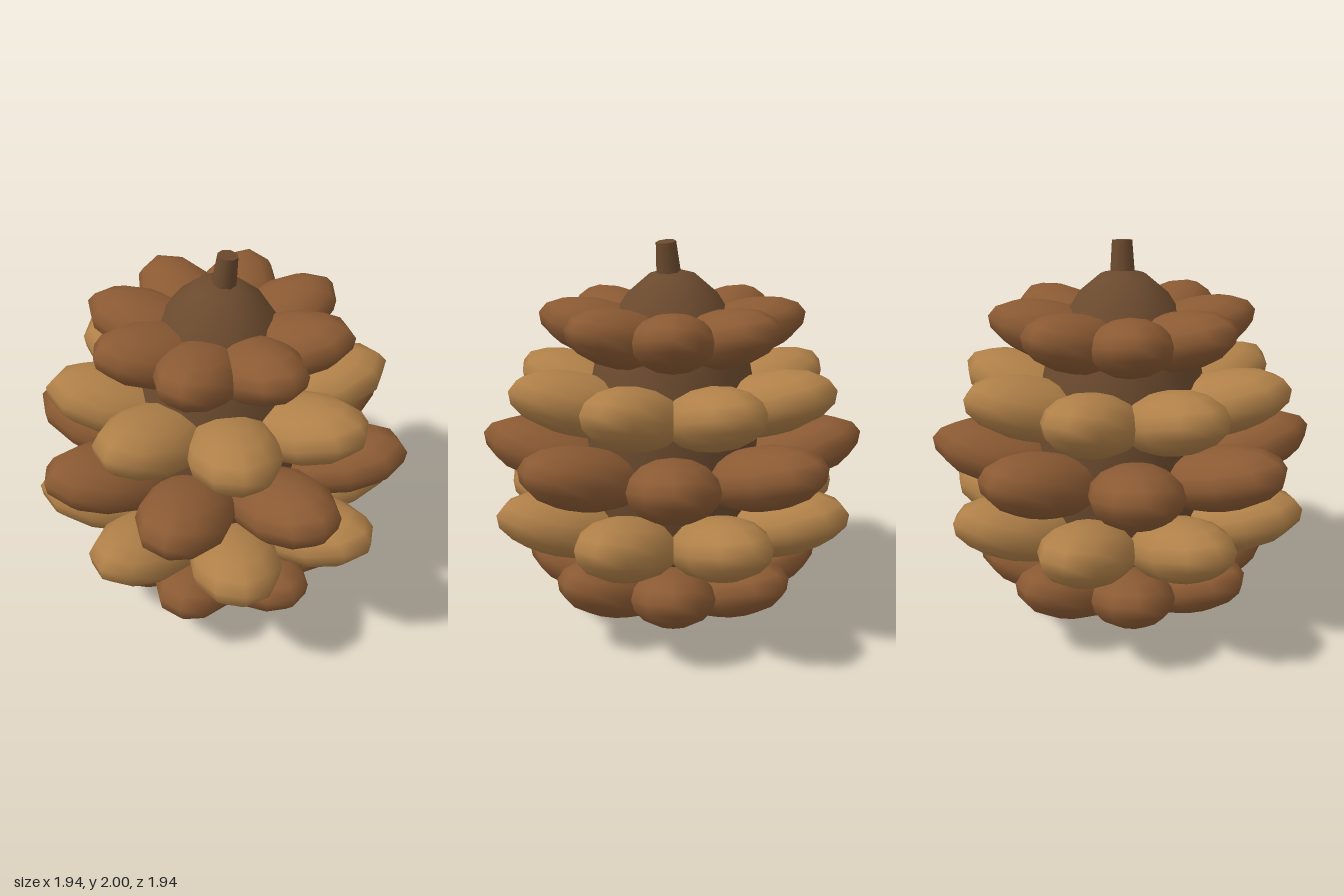
import * as THREE from 'three';

const paint = (color) => new THREE.MeshStandardMaterial({ color });

export function createModel() {
  const model = new THREE.Group();
  const wood = paint(0x6b4a2e);
  const scaleColours = [paint(0x8b5a33), paint(0xb08048)];

  // Egg-shaped core, seen between the tiers and as the cap on top
  const core = new THREE.Mesh(new THREE.SphereGeometry(1, 16, 12), wood);
  core.name = 'core';
  core.scale.set(0.45, 0.93, 0.45);
  core.position.y = 0.935;
  model.add(core);

  // Short stem, leaning slightly to the left
  const stem = new THREE.Mesh(new THREE.CylinderGeometry(0.05, 0.066, 0.24, 8), wood);
  stem.name = 'stem';
  stem.position.set(0.03, 1.877, 0);
  stem.rotation.z = -0.12;
  model.add(stem);

  // Five tiers of eight upturned scales, every other tier turned half a step
  const tiers = [
    { y: 0.28, radius: 0.41, length: 0.362, thick: 0.15, width: 0.218, tilt: 0.32 },
    { y: 0.595, radius: 0.585, length: 0.371, thick: 0.157, width: 0.23, tilt: 0.28 },
    { y: 0.915, radius: 0.612, length: 0.373, thick: 0.157, width: 0.232, tilt: 0.28 },
    { y: 1.22, radius: 0.502, length: 0.368, thick: 0.157, width: 0.23, tilt: 0.28 },
    { y: 1.553, radius: 0.338, length: 0.34, thick: 0.145, width: 0.21, tilt: 0.27 },
  ];
  const scaleGeometry = new THREE.SphereGeometry(1, 10, 8);
  tiers.forEach((t, i) => {
    const tier = new THREE.Group();
    tier.name = `scaleTier${i + 1}`;
    tier.position.y = t.y;
    for (let k = 0; k < 8; k++) {
      const arm = new THREE.Group();
      arm.name = 'scaleArm';
      arm.rotation.y = ((k + (i % 2) / 2) * Math.PI) / 4;
      const scale = new THREE.Mesh(scaleGeometry, scaleColours[i % 2]);
      scale.name = 'scale';
      scale.position.x = t.radius;
      scale.rotation.z = t.tilt;
      scale.scale.set(t.length, t.thick, t.width);
      arm.add(scale);
      tier.add(arm);
    }
    model.add(tier);
  });

  return model;
}
